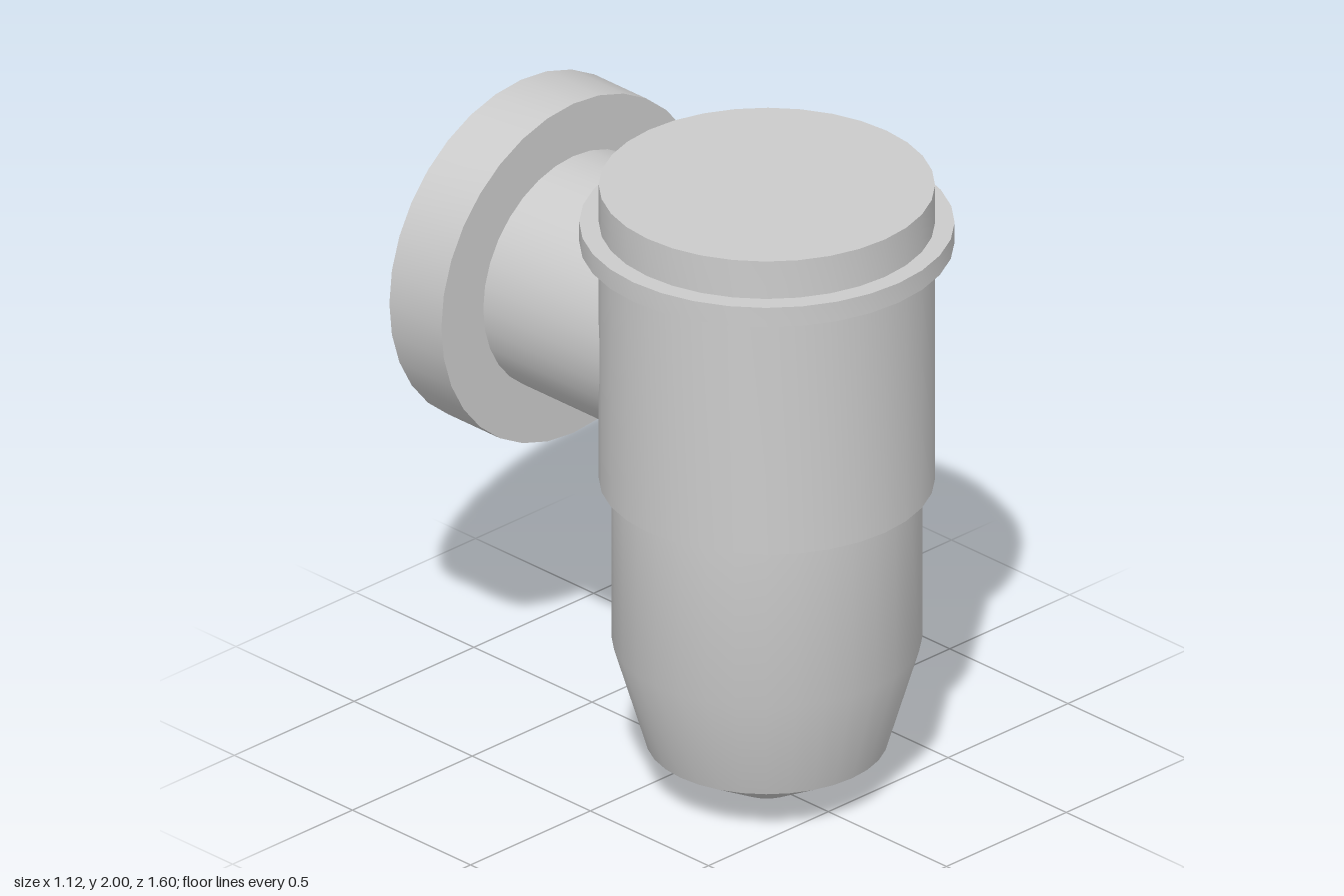
import * as THREE from 'three';
import { toCreasedNormals } from 'three/addons/utils/BufferGeometryUtils.js';

const SEGMENTS = 32;
const BODY_RADIUS = 0.5;
const BODY_Z = 0.24;
const OUTLET_Y = 1.42;

// Turned profile of [radius, height] points, listed from bottom to top
function turned(profile) {
  return new THREE.LatheGeometry(profile.map(([r, y]) => new THREE.Vector2(r, y)), SEGMENTS);
}

function addPart(group, name, geometry, side = THREE.FrontSide) {
  const material = new THREE.MeshStandardMaterial({ color: 0xcccccc, side });
  const mesh = new THREE.Mesh(toCreasedNormals(geometry, 0.6), material);
  mesh.name = name;
  group.add(mesh);
  return mesh;
}

export function createModel() {
  const model = new THREE.Group();
  model.name = 'bottleTrap';

  // Lower bowl: flattened conical tip, tapered shoulder, straight wall
  addPart(model, 'bowl', turned([
    [0, 0], [0.1, 0], [0.36, 0.148], [0.462, 0.49], [0.462, 1.02],
  ])).position.z = BODY_Z;

  // Upper body with a collar below the flat top
  addPart(model, 'body', turned([
    [0.462, 1.02], [BODY_RADIUS, 1.02], [BODY_RADIUS, 1.81], [0.558, 1.81],
    [0.558, 1.875], [BODY_RADIUS, 1.875], [BODY_RADIUS, 2], [0, 2],
  ])).position.z = BODY_Z;

  // Thin open outlet pipe and socket, pointing backwards
  const outlet = turned([[0.375, 0], [0.375, 0.58], [0.55, 0.58], [0.55, 0.8]]);
  outlet.rotateX(-Math.PI / 2);

  // Fit the inner end of the pipe to the curved body wall
  const pos = outlet.attributes.position;
  for (let i = 0; i < pos.count; i++) {
    if (pos.getZ(i) > -0.01) {
      const x = pos.getX(i);
      pos.setZ(i, BODY_Z - Math.sqrt(BODY_RADIUS ** 2 - x * x) + 0.005);
    }
  }
  addPart(model, 'outlet', outlet, THREE.DoubleSide).position.y = OUTLET_Y;

  return model;
}
